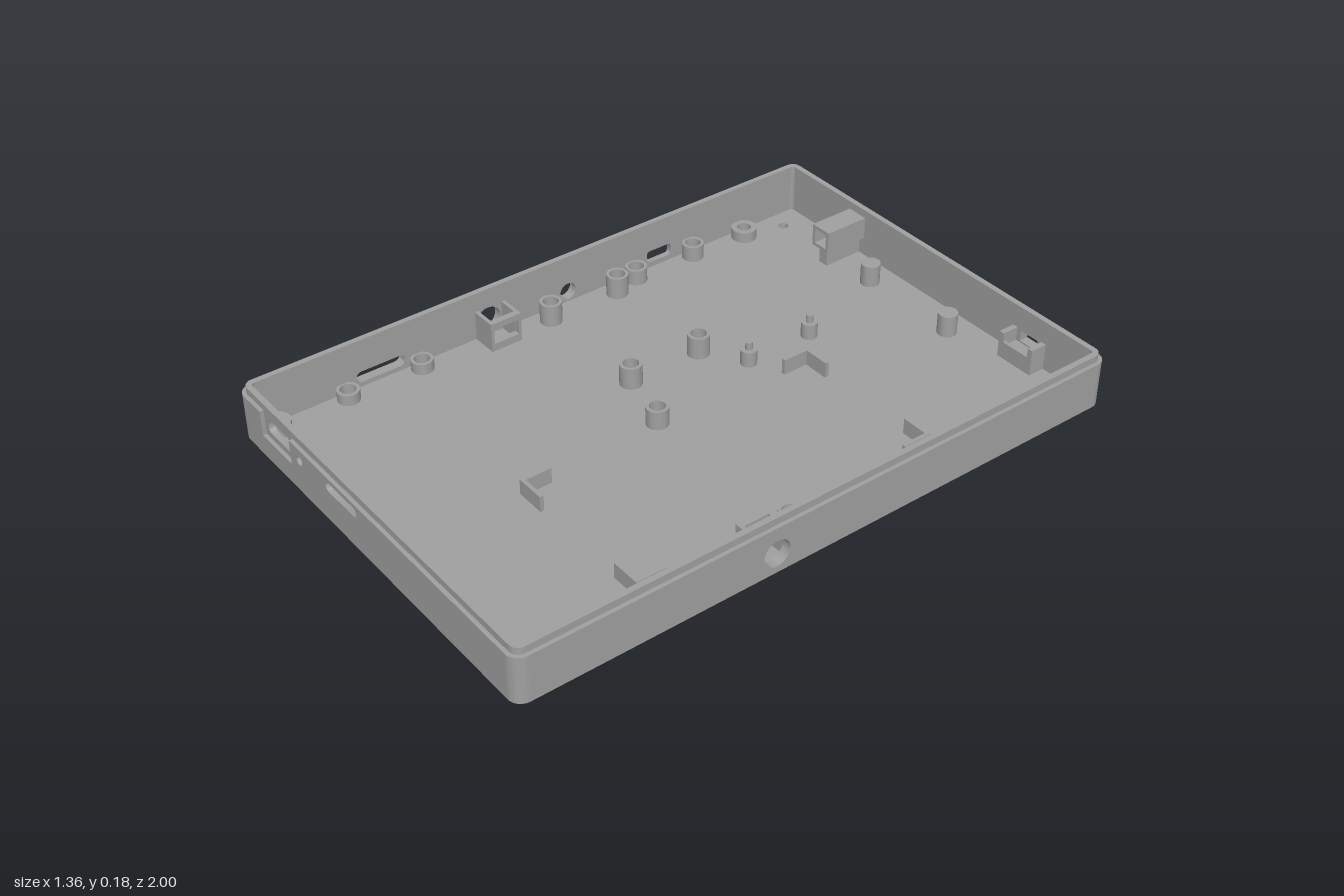
import * as THREE from 'three';
import { toCreasedNormals } from 'three/addons/utils/BufferGeometryUtils.js';

const W = 0.68, D = 1, R = 0.04;            // half width, half depth, corner radius
const SKIN = 0.012, WALL = 0.03;            // outer skin and total wall thickness
const FLOOR = 0.025, CHAMFER = 0.012, SHOULDER = 0.16, TOP = 0.182;

const circle = (x, y, r) => new THREE.Path().absarc(x, y, r, 0, Math.PI * 2, true);

// Rounded rectangle centred on (x, y)
function roundRect(x, y, w, h, r, Type = THREE.Path) {
  const p = new Type(), a = w / 2 - r, b = h / 2 - r, q = Math.PI / 2;
  p.absarc(x + a, y + b, r, 0, q);
  p.absarc(x - a, y + b, r, q, 2 * q);
  p.absarc(x - a, y - b, r, 2 * q, 3 * q);
  p.absarc(x + a, y - b, r, 3 * q, 4 * q);
  p.closePath();
  return p;
}

const polygon = (pts, Type = THREE.Path) => new Type(pts.map(([x, y]) => new THREE.Vector2(x, y)));
const rect = (x0, y0, x1, y1, Type) => polygon([[x0, y0], [x1, y0], [x1, y1], [x0, y1]], Type);

function extrude(shape, depth, holes = []) {
  shape.holes.push(...holes);
  return new THREE.ExtrudeGeometry(shape, { depth, bevelEnabled: false, curveSegments: 12 });
}

// Upright prism: the shape is drawn in (x, -z)
const prism = (shape, y0, y1, holes) =>
  extrude(shape, y1 - y0, holes).rotateX(-Math.PI / 2).translate(0, y0, 0);

export function createModel() {
  const model = new THREE.Group();
  model.name = 'enclosureTray';
  const plastic = new THREE.MeshStandardMaterial({ color: 0xa0a0a0 });
  plastic.name = 'grey plastic';

  function add(name, geometry, parent = model) {
    const mesh = new THREE.Mesh(toCreasedNormals(geometry, 0.5), plastic);
    mesh.name = name;
    parent.add(mesh);
    return mesh;
  }
  const box = (name, x0, x1, y0, y1, z0, z1, parent) => add(name,
    new THREE.BoxGeometry(x1 - x0, y1 - y0, z1 - z0)
      .translate((x0 + x1) / 2, (y0 + y1) / 2, (z0 + z1) / 2), parent);
  const ring = (name, x, z, r, hole, y0, y1) => add(name,
    prism(new THREE.Shape().absarc(x, -z, r, 0, Math.PI * 2), y0, y1, hole ? [circle(x, -z, hole)] : []));

  // Floor plate with chamfered underside, screw recesses and small through holes
  const screws = [[-0.613, -0.74], [0.613, -0.74], [-0.613, 0.925], [0.613, 0.925]];
  const floorHoles = () => [
    ...screws.map(([x, z]) => circle(x, -z, 0.033)),
    ...[-0.585, 0.585].map(x => circle(x, 0.88, 0.016)),
  ];
  const chamfer = prism(roundRect(0, 0, 2 * W, 2 * D, R, THREE.Shape), 0, CHAMFER, floorHoles());
  const pos = chamfer.attributes.position;
  for (let i = 0; i < pos.count; i++) {
    const x = pos.getX(i), z = pos.getZ(i);
    if (pos.getY(i) < 0.001 && (Math.abs(x) > W - R - 0.001 && Math.abs(z) > D - R - 0.001
      || Math.abs(x) > W - 0.001 || Math.abs(z) > D - 0.001)) {
      pos.setX(i, x * (W - CHAMFER) / W);
      pos.setZ(i, z * (D - CHAMFER) / D);
    }
  }
  chamfer.computeVertexNormals();
  add('baseChamfer', chamfer);
  add('floor', prism(roundRect(0, 0, 2 * (W - SKIN), 2 * (D - SKIN), R - SKIN, THREE.Shape),
    CHAMFER, FLOOR, floorHoles()));

  // Walls: outer skin up to the shoulder, inner liner up to the lip
  function wall(name, angle, half, dist, openings, recess) {
    const g = new THREE.Group();
    g.name = name;
    g.rotation.y = angle;
    model.add(g);
    const L = half - R;
    let skin = rect(-L, CHAMFER, L, SHOULDER, THREE.Shape), cuts = openings();
    if (recess) {
      const [a, b, c, d] = recess;
      cuts = cuts.slice(1);                 // first opening lies inside the recess
      if (d < SHOULDER) cuts.push(rect(a, c, b, d));
      else skin = polygon([[-L, CHAMFER], [L, CHAMFER], [L, d], [b, d], [b, c], [a, c], [a, d], [-L, d]], THREE.Shape);
    }
    add(name + 'Skin', extrude(skin, SKIN, cuts).translate(0, 0, dist - SKIN), g);
    add(name + 'Liner', extrude(rect(-L, CHAMFER, L, TOP, THREE.Shape), WALL - SKIN, openings())
      .translate(0, 0, dist - WALL), g);
  }
  const slot = (u, y, w, h) => roundRect(u, y, w, h, h * 0.48);
  wall('frontWall', 0, W, D, () => [
    roundRect(-0.47, 0.123, 0.12, 0.046, 0.015), circle(-0.34, 0.122, 0.015), slot(-0.122, 0.131, 0.156, 0.03),
  ], [-0.55, -0.39, 0.08, SHOULDER]);
  wall('backWall', Math.PI, W, D, () => [
    rect(-0.443, 0.07, -0.377, 0.105), rect(0.315, 0.095, 0.365, 0.145),
  ]);
  wall('leftWall', Math.PI / 2, D, W, () => [circle(-0.2, 0.075, 0.043)]);
  wall('rightWall', -Math.PI / 2, D, W, () => [
    roundRect(-0.43, 0.063, 0.09, 0.04, 0.01), circle(-0.086, 0.06, 0.028),
    circle(0.2, 0.075, 0.043), slot(0.57, 0.058, 0.16, 0.036),
  ], [-0.505, -0.355, 0.03, 0.1]);

  // Rounded wall corners
  const quarter = (x, z, outer, inner) => {
    const s = new THREE.Shape();
    s.absarc(0, 0, outer, 0, Math.PI / 2);
    s.absarc(0, 0, inner, Math.PI / 2, 0, true);
    s.closePath();
    return s;
  };
  [[1, -1, 0], [-1, -1, 1], [-1, 1, 2], [1, 1, 3]].forEach(([sx, sz, k]) => {
    for (const [outer, inner, top] of [[R, R - SKIN, SHOULDER], [R - SKIN, R - WALL, TOP]]) {
      const c = add('wallCorner', prism(quarter(0, 0, outer, inner), CHAMFER, top));
      c.rotation.y = k * Math.PI / 2;
      c.position.set(sx * (W - R), 0, sz * (D - R));
    }
  });

  // Case screw bosses, recessed from below
  for (const [x, z] of screws) ring('screwBoss', x, z, 0.04, 0.022, 0.018, 0.06);

  // Hollow board standoffs: x, z, top
  for (const [x, z, y] of [
    [-0.62, -0.54, 0.075], [-0.62, -0.32, 0.075], [-0.62, 0.45, 0.06], [-0.62, 0.695, 0.06],
    [-0.595, -0.23, 0.095], [-0.195, -0.23, 0.095], [-0.595, 0.015, 0.095], [-0.195, 0.015, 0.095],
    [0.003, 0.07, 0.085], [0.575, 0.07, 0.085],
  ]) ring('standoff', x, z, 0.034, 0.024, 0.02, y);

  // Stepped locating pins
  for (const z of [-0.545, -0.315]) {
    ring('pinBase', -0.067, z, 0.025, 0, 0.02, 0.075);
    ring('pinTip', -0.067, z, 0.011, 0, 0.075, 0.1);
  }
  // Solid support posts
  for (const x of [-0.172, 0.168]) ring('supportPost', x, -0.88, 0.03, 0, 0.02, 0.095);

  // L-shaped corner guides
  for (const sx of [-1, 1]) for (const sz of [-1, 1]) {
    const shape = polygon([[0, 0], [0.095, 0], [0.095, 0.012], [0.012, 0.012], [0.012, 0.095], [0, 0.095]]
      .map(([x, z]) => [0.29 + sx * (0.26 - x), -(0.048 + sz * (0.502 - z))]), THREE.Shape);
    add('cornerGuide', prism(shape, 0.02, 0.075));
  }

  // Side connector housings: open box with a windowed inner wall
  for (const s of [-1, 1]) {
    const g = new THREE.Group();
    g.name = s > 0 ? 'leftHousing' : 'rightHousing';
    model.add(g);
    const xs = (a, b) => (s > 0 ? [a, b] : [-b, -a]);
    const face = extrude(rect(-0.245, 0.02, -0.14, 0.12, THREE.Shape), 0.02, [rect(-0.235, 0.05, -0.15, 0.1)])
      .rotateY(Math.PI / 2).translate(s > 0 ? 0.565 : -0.585, 0, 0);
    add('housingFace', face, g);
    box('housingSide', ...xs(0.58, 0.652), 0.02, 0.12, 0.14, 0.152, g);
    box('housingSide', ...xs(0.58, 0.652), 0.02, 0.12, 0.233, 0.245, g);
  }

  // Raised square tube on a rib, lined up with the back opening
  add('lightTube', extrude(rect(-0.376, 0.084, -0.304, 0.156, THREE.Shape), 0.155,
    [rect(-0.365, 0.095, -0.315, 0.145)]).translate(0, 0, -0.975));
  box('tubeRib', -0.357, -0.323, 0.02, 0.085, -0.975, -0.835);

  // Back port holder: shelf with two cheeks and a low stop
  box('portShelf', 0.345, 0.475, 0.02, 0.065, -0.975, -0.915);
  box('portCheek', 0.345, 0.362, 0.06, 0.11, -0.975, -0.915);
  box('portCheek', 0.458, 0.475, 0.06, 0.11, -0.975, -0.915);
  box('portStop', 0.36, 0.46, 0.06, 0.08, -0.925, -0.915);

  return model;
}
